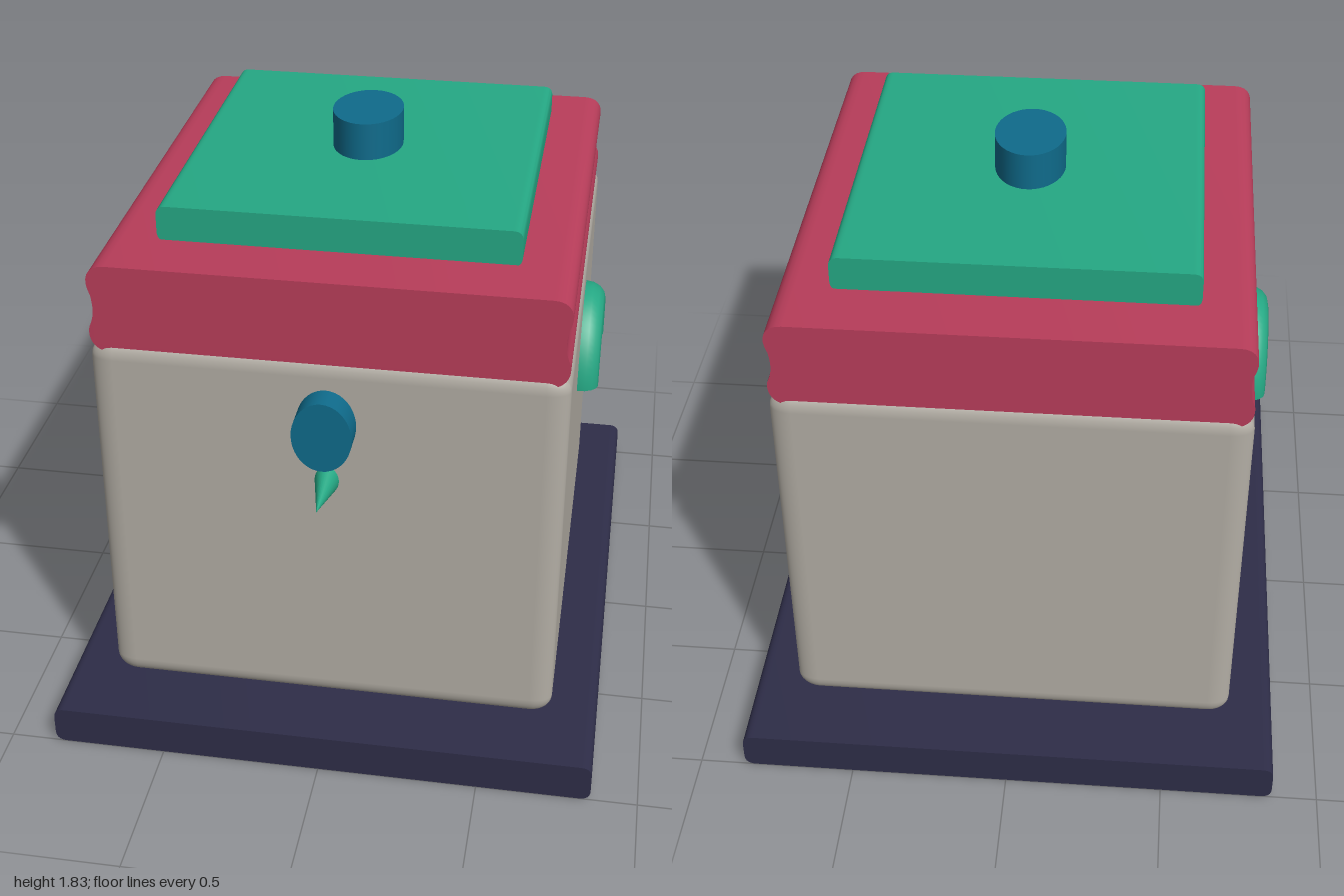
import * as THREE from 'three';
import { toCreasedNormals } from 'three/addons/utils/BufferGeometryUtils.js';
import { RoundedBoxGeometry } from 'three/addons/geometries/RoundedBoxGeometry.js';

const material = (name, color) => {
  const m = new THREE.MeshStandardMaterial({ color });
  m.name = name;
  return m;
};

export function createModel() {
  const model = new THREE.Group();
  model.name = 'cookerPot';
  const navy = material('navy', 0x2e2d48);
  const stone = material('stone', 0xb2ada4);
  const red = material('crimson', 0xb83d5a);
  const green = material('seaGreen', 0x25a884);
  const blue = material('deepBlue', 0x0f6b8b);

  const add = (name, geometry, mat, x = 0, y = 0, z = 0) => {
    const mesh = new THREE.Mesh(geometry, mat);
    mesh.name = name;
    mesh.position.set(x, y, z);
    model.add(mesh);
    return mesh;
  };

  // Front profile swept along z, centred on z = 0
  const sweep = (shape, depth) => {
    const g = new THREE.ExtrudeGeometry(shape, { depth, bevelEnabled: false, curveSegments: 8 });
    g.translate(0, 0, -depth / 2);
    return toCreasedNormals(g, 0.6);
  };

  // Slab profile with rounded corners
  const slab = (w, y0, y1, r) => {
    const s = new THREE.Shape();
    s.moveTo(-w + r, y0);
    s.lineTo(w - r, y0);
    s.quadraticCurveTo(w, y0, w, y0 + r);
    s.lineTo(w, y1 - r);
    s.quadraticCurveTo(w, y1, w - r, y1);
    s.lineTo(-w + r, y1);
    s.quadraticCurveTo(-w, y1, -w, y1 - r);
    s.lineTo(-w, y0 + r);
    s.quadraticCurveTo(-w, y0, -w + r, y0);
    return s;
  };

  add('base', sweep(slab(0.855, 0, 0.125, 0.035), 2), navy);

  // Body: rounded box with a different corner radius on each axis
  const [rx, ry, rz] = [0.07, 0.06, 0.04];
  const bodyGeometry = new RoundedBoxGeometry(1.42 / rx, 1.24 / ry, 1.56 / rz, 4, 1);
  bodyGeometry.scale(rx, ry, rz);
  add('body', bodyGeometry, stone, 0, 0.74, 0);

  // Lid: waisted profile, pinched on both sides
  const lid = new THREE.Shape();
  lid.moveTo(-0.67, 1.33);
  lid.lineTo(0.67, 1.33);
  lid.bezierCurveTo(0.695, 1.34, 0.71, 1.37, 0.702, 1.405);
  lid.bezierCurveTo(0.685, 1.44, 0.685, 1.47, 0.692, 1.51);
  lid.bezierCurveTo(0.715, 1.56, 0.7, 1.605, 0.645, 1.605);
  lid.lineTo(-0.645, 1.605);
  lid.bezierCurveTo(-0.7, 1.605, -0.715, 1.56, -0.692, 1.51);
  lid.bezierCurveTo(-0.685, 1.47, -0.685, 1.44, -0.702, 1.405);
  lid.bezierCurveTo(-0.71, 1.37, -0.695, 1.34, -0.67, 1.33);
  add('lid', sweep(lid, 1.54), red);

  add('lidPlate', sweep(slab(0.54, 1.6, 1.712, 0.03), 1.14), green);

  // Oval knob on top and oval dial on the front
  add('lidKnob', new THREE.CylinderGeometry(1, 1, 0.13, 40).scale(0.11, 1, 0.145), blue, 0, 1.765, -0.003);
  add('frontDial', new THREE.CylinderGeometry(1, 1, 0.1, 40).rotateX(Math.PI / 2).scale(0.09, 0.115, 1),
    blue, 0, 1.145, 0.81);

  // Pointed spout under the dial
  add('spout', new THREE.ConeGeometry(1, 0.17, 24).rotateX(Math.PI / 2).scale(0.037, 0.048, 1),
    green, 0, 0.947, 0.865);

  // Half-ring handles on both sides
  for (const [name, side] of [['leftHandle', 1], ['rightHandle', -1]]) {
    const ring = new THREE.TorusGeometry(0.175, 0.045, 16, 32, Math.PI);
    ring.rotateY(Math.PI / 2).scale(1.45, 1.2, 1);
    add(name, ring, green, side * 0.71, 0.995, 0);
  }
  return model;
}
